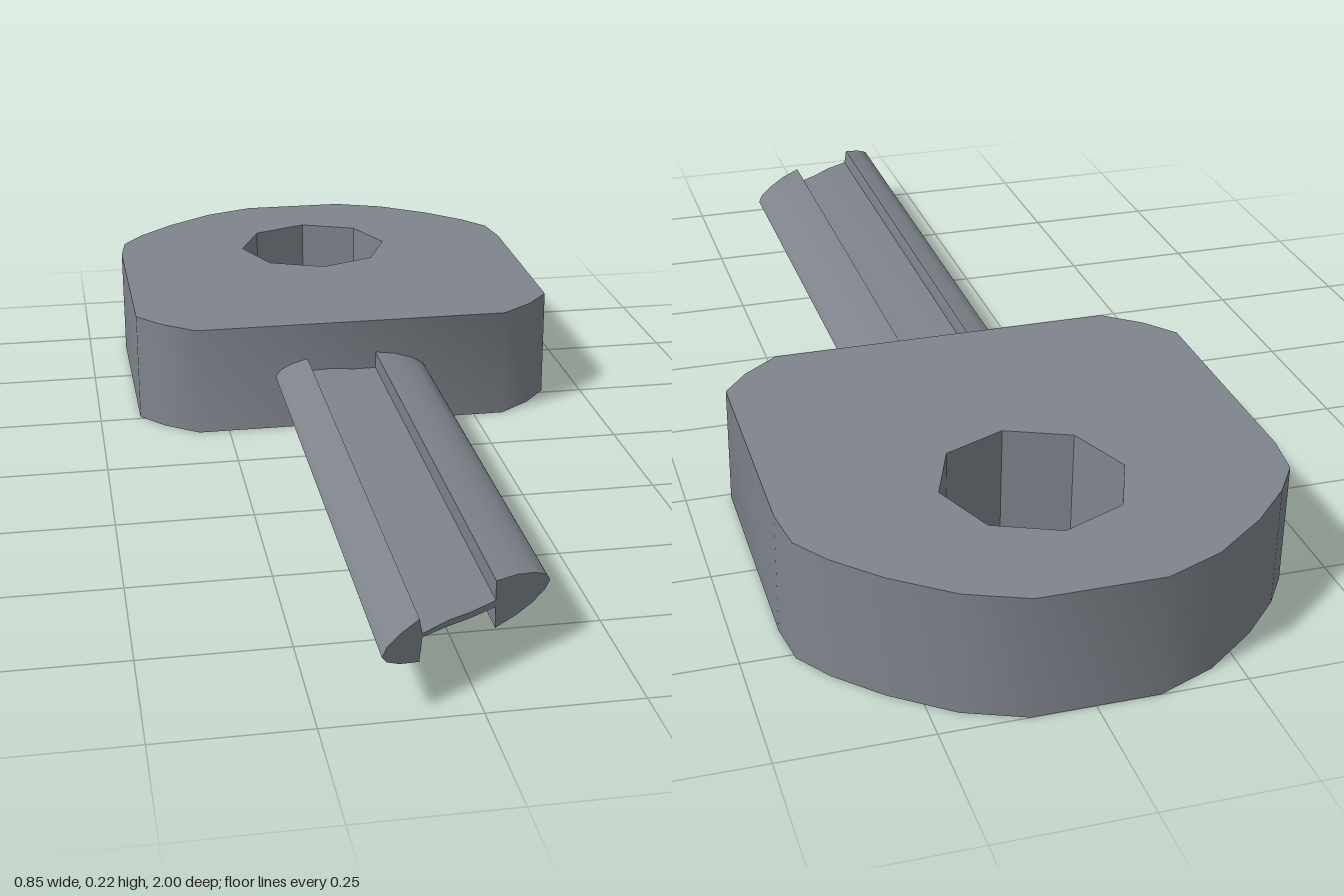
import * as THREE from 'three';
import { toCreasedNormals } from 'three/addons/utils/BufferGeometryUtils.js';

const points = (list) => list.map(([x, y]) => new THREE.Vector2(x, y));

export function createModel() {
  const group = new THREE.Group();
  const steel = new THREE.MeshStandardMaterial({ color: 0x7f848c });
  steel.name = 'steel grey';

  const add = (name, geometry, crease) => {
    const mesh = new THREE.Mesh(toCreasedNormals(geometry, crease), steel);
    mesh.name = name;
    group.add(mesh);
  };

  // Bow: rounded head, outline in x and z, mirrored across x
  const half = [
    [0.31, -0.155], [0.375, -0.205], [0.42, -0.26], [0.423, -0.68], [0.412, -0.76],
    [0.37, -0.82], [0.3, -0.89], [0.205, -0.96], [0.105, -1],
  ];
  const mirrored = half.map(([x, z]) => [-x, z]).reverse();
  const bowShape = new THREE.Shape(points([...half, ...mirrored]));

  // Eight-sided ring hole
  const hole = [];
  for (let i = 0; i < 8; i++) {
    const a = (i * Math.PI) / 4;
    hole.push([0.157 * Math.cos(a), -0.68 + 0.16 * Math.sin(a)]);
  }
  bowShape.holes.push(new THREE.Path(points(hole)));

  const height = 0.215;
  const bow = new THREE.ExtrudeGeometry(bowShape, { depth: height, bevelEnabled: false });
  bow.rotateX(Math.PI / 2).translate(0, height, 0);
  add('bow', bow, 0.72);

  // Blade: two lens-shaped rails joined by a thin web, section in x and y
  const section = [
    [-0.155, 0.108], [-0.147, 0.121], [-0.125, 0.133], [-0.091, 0.143],
    [-0.086, 0.117], [-0.04, 0.119], [0, 0.115], [0.046, 0.115],
    [0.046, 0.148], [0.085, 0.143], [0.12, 0.132], [0.143, 0.119], [0.15, 0.107],
    [0.14, 0.094], [0.115, 0.081], [0.085, 0.073], [0.046, 0.068],
    [0.046, 0.104], [0, 0.105], [-0.04, 0.109], [-0.086, 0.111],
    [-0.091, 0.072], [-0.125, 0.084], [-0.147, 0.097],
  ];
  const back = -0.16;
  const blade = new THREE.ExtrudeGeometry(new THREE.Shape(points(section)), { depth: 1, bevelEnabled: false });

  // Slanted tip
  const pos = blade.attributes.position;
  for (let i = 0; i < pos.count; i++) {
    pos.setZ(i, pos.getZ(i) > 0.5 ? 0.898 - 0.66 * pos.getX(i) : back);
  }
  add('blade', blade, 0.75);

  return group;
}
